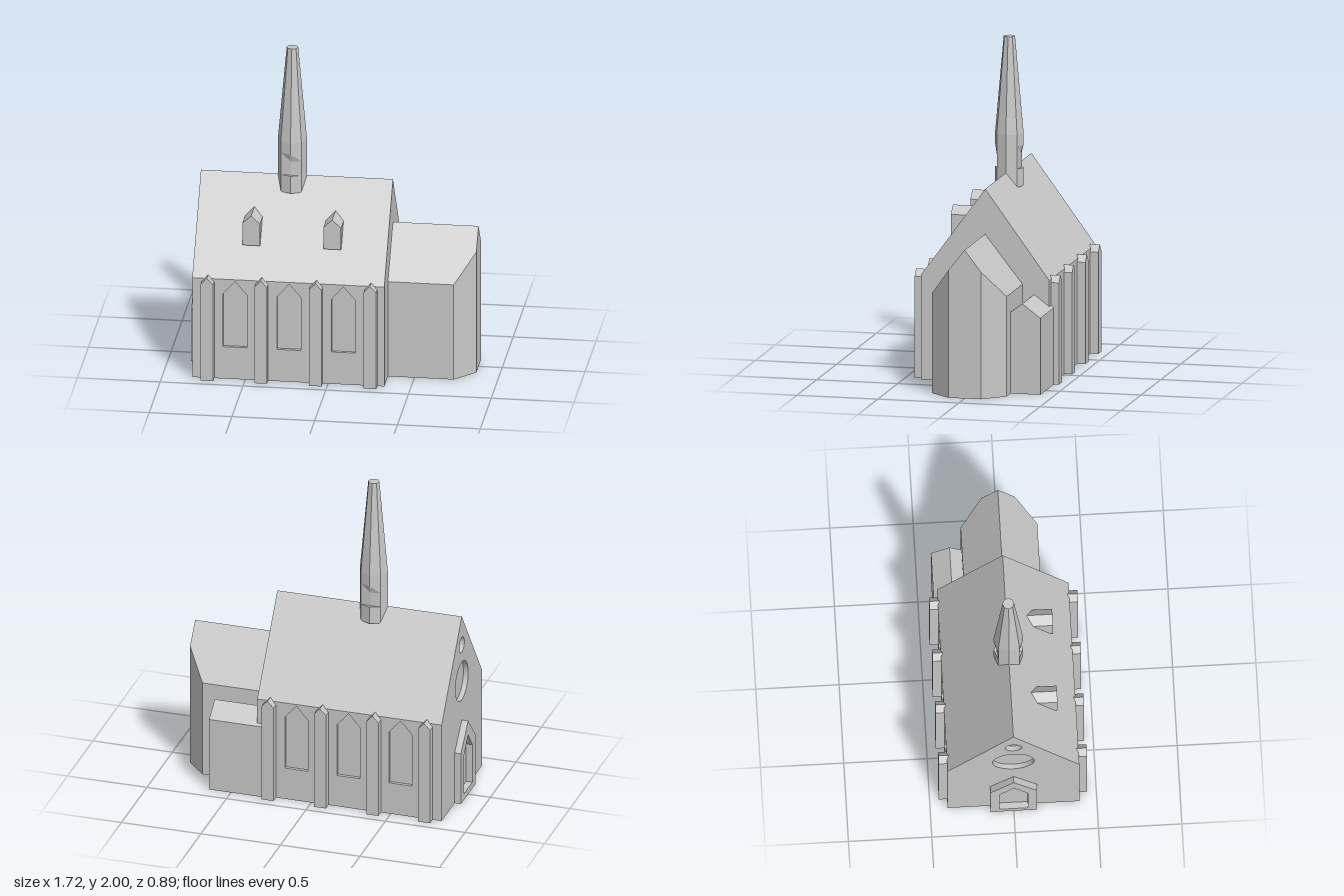
import * as THREE from 'three';
import { ConvexGeometry } from 'three/addons/geometries/ConvexGeometry.js';

const stone = new THREE.MeshStandardMaterial({ color: 0xc8c8c8 });
stone.name = 'stone';

const poly = (pts) => new THREE.Shape(pts.map(([x, y]) => new THREE.Vector2(x, y)));

// House-shaped outline: a rectangle with a pointed top
const pointed = (cx, halfWidth, y0, eave, peak) => poly([
  [cx - halfWidth, y0], [cx + halfWidth, y0], [cx + halfWidth, eave], [cx, peak], [cx - halfWidth, eave],
]);

const alongZ = (shape, z0, z1) =>
  new THREE.ExtrudeGeometry(shape, { depth: z1 - z0, bevelEnabled: false, curveSegments: 24 }).translate(0, 0, z0);

// Shape x becomes -z, the depth runs along +x
const alongX = (shape, x0, x1) =>
  new THREE.ExtrudeGeometry(shape, { depth: x1 - x0, bevelEnabled: false, curveSegments: 24 })
    .rotateY(Math.PI / 2).translate(x0, 0, 0);

export function createModel() {
  const church = new THREE.Group();
  church.name = 'church';
  const add = (name, geometry, parent = church) => {
    const mesh = new THREE.Mesh(geometry, stone);
    mesh.name = name;
    parent.add(mesh);
    return mesh;
  };

  const W = 0.395, EAVE = 0.64, RIDGE = 1.18, WEST = -0.82, EAST = 0.34;
  const inset = 0.02, facade = 0.03;

  // Nave core and roof; its lower walls are the backs of the window recesses
  add('nave', alongX(poly([
    [-W + inset, 0], [W - inset, 0], [W - inset, EAVE], [W, EAVE], [0, RIDGE], [-W, EAVE], [-W + inset, EAVE],
  ]), WEST + facade, EAST));

  // West front with two round recesses
  const front = pointed(0, W, 0, EAVE, RIDGE);
  for (const [y, r] of [[0.75, 0.125], [0.99, 0.05]]) {
    front.holes.push(new THREE.Path().absarc(0, y, r, 0, Math.PI * 2, true));
  }
  add('westFront', alongX(front, WEST, WEST + facade));

  // Door surround
  const porch = pointed(0, 0.14, 0, 0.335, 0.49);
  porch.holes.push(pointed(0, 0.085, 0.04, 0.29, 0.395));
  add('doorSurround', alongX(porch, -0.86, WEST));

  // Side walls with pointed windows, and buttresses between them
  for (const side of [1, -1]) {
    const group = new THREE.Group();
    group.name = side > 0 ? 'frontSide' : 'backSide';
    if (side < 0) group.position.z = -2 * W + inset;
    church.add(group);

    const wall = poly([[WEST + facade, 0], [EAST, 0], [EAST, EAVE], [WEST + facade, EAVE]]);
    for (const x of [-0.562, -0.235, 0.093]) wall.holes.push(pointed(x, 0.072, 0.205, 0.545, 0.628));
    add('sideWall', alongZ(wall, W - inset, W), group);

    for (const x of [-0.725, -0.4, -0.07, 0.26]) {
      const z0 = side > 0 ? W - 0.01 : W - inset - 0.05;
      add('buttress', alongZ(pointed(x, 0.038, 0, 0.62, 0.66), z0, z0 + 0.06), group);
    }
  }

  // Roof dormers on the front slope
  for (const x of [-0.48, 0.01]) {
    add('dormer', alongZ(pointed(x, 0.053, 0.82, 0.96, 1.01), 0.06, 0.28));
  }

  // Choir with chamfered east end
  const cw = 0.23, ce = 0.61, cr = 0.905, aw = 0.1;
  const cut = cr - (cr - ce) * aw / cw;
  const points = [];
  for (const [x, w, e] of [[0.3, cw, ce], [0.737, cw, ce], [0.857, aw, cut]]) {
    for (const s of [1, -1]) points.push(new THREE.Vector3(x, 0, s * w), new THREE.Vector3(x, e, s * w));
  }
  points.push(new THREE.Vector3(0.3, cr, 0), new THREE.Vector3(0.857, cr, 0));
  add('choir', new ConvexGeometry(points));

  // Sacristy behind the choir
  add('sacristy', alongX(poly([
    [0.2, 0], [0.413, 0], [0.413, 0.467], [0.302, 0.55], [0.2, 0.474],
  ]), 0.3, 0.637));

  // Octagonal spire, with a shallow notch in its front and back edges
  const profile = [[0, 1.09], [0.088, 1.09], [0.088, 1.2], [0.0879, 1.201], [0.088, 1.29],
    [0.088, 1.34], [0.088, 1.41], [0.035, 2], [0, 2]];
  const spire = new THREE.LatheGeometry(profile.map(([x, y]) => new THREE.Vector2(x, y)), 8);
  const p = spire.attributes.position;
  for (let i = 0; i < p.count; i++) {
    const y = p.getY(i);
    if (Math.abs(p.getX(i)) < 1e-4 && y > 1.2005 && y < 1.3) p.setZ(i, Math.sign(p.getZ(i)) * 0.07);
  }
  const flatSpire = spire.toNonIndexed();
  flatSpire.computeVertexNormals();
  add('spire', flatSpire).position.set(-0.267, 0, 0);

  return church;
}
